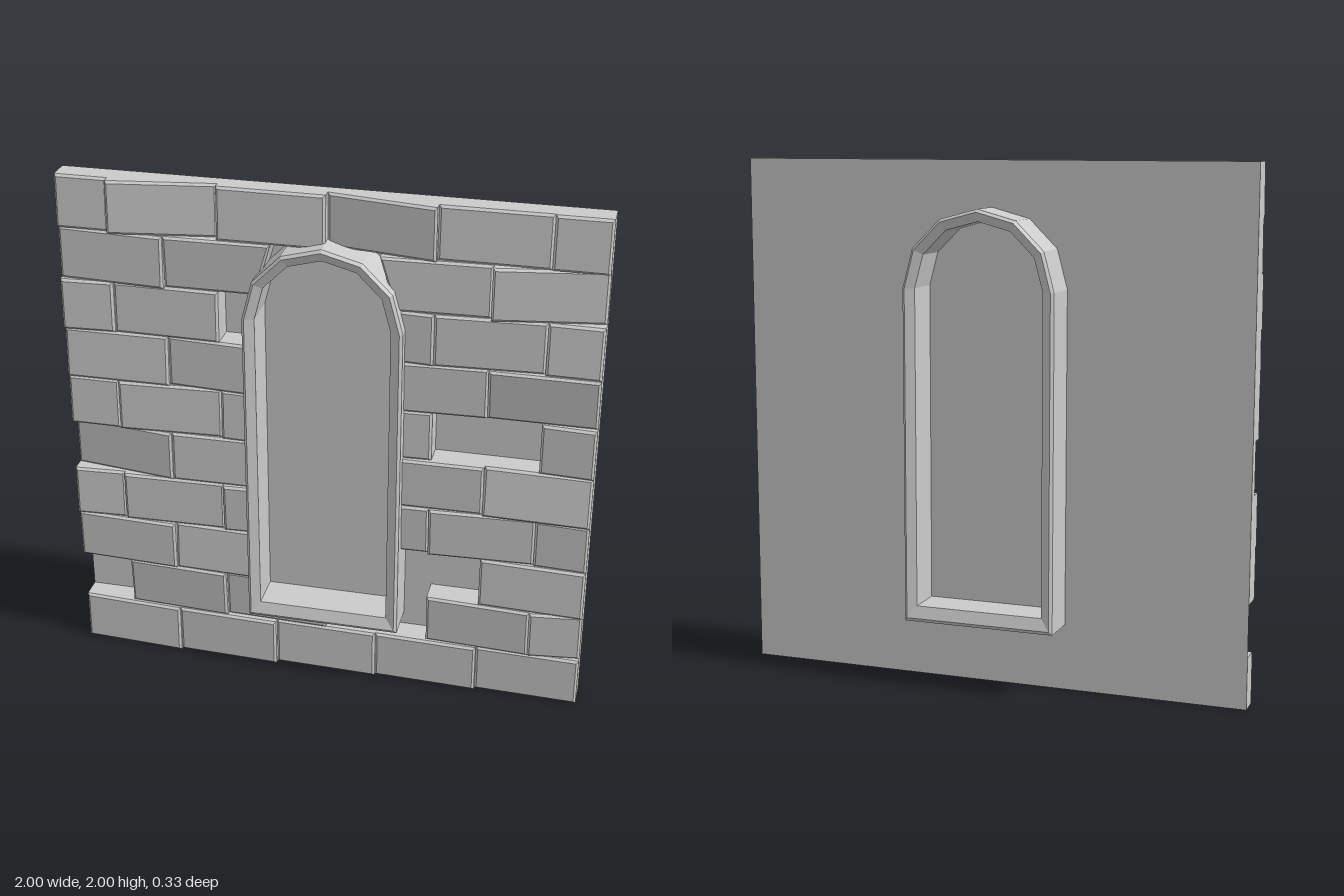
import * as THREE from 'three';

const material = new THREE.MeshStandardMaterial({ color: 0xcccccc, flatShading: true, side: THREE.DoubleSide });
const ROWS = 10, BRICK_W = 0.4, BRICK_H = 0.2, BEVEL = 0.009;
const CUT = 0.27; // half width of the opening the bricks are trimmed to

// Bricks left out, as 'row,column'
const MISSING = new Set(['1,0', '1,3', '2,3', '5,4', '7,2', '8,2']);

// Chosen tilts: [depth, slope along x, slope along y]
const TILTS = {
  '9,0': [0.1, 0, -0.05], '9,1': [0.098, -0.15, -0.03], '9,2': [0.095, 0, -0.05],
  '9,3': [0.09, 0.16, 0], '9,4': [0.095, 0, -0.05], '9,5': [0.1, 0, -0.05],
  '8,4': [0.098, -0.16, 0], '6,4': [0.105, 0, 0.12], '4,4': [0.11, 0.02, -0.12],
  '4,0': [0.085, 0.14, 0], '1,5': [0.11, -0.12, 0.05],
};

function seeded(seed) {
  return () => {
    seed = (seed * 16807) % 2147483647;
    return seed / 2147483647;
  };
}

// Brick outline, trimmed where it meets the window frame
function brickOutline(row, x0, x1) {
  const y0 = row * BRICK_H, y1 = y0 + BRICK_H;
  const left = x0 + x1 < 0;
  const s = left ? -1 : 1; // work on the +x side, then mirror
  const inner = left ? -x1 : x0, outer = left ? -x0 : x1;
  let pts = [[inner, y0], [outer, y0], [outer, y1], [inner, y1]];
  if (row === 1 && inner < CUT) {
    pts = [[inner, y0], [outer, y0], [outer, y1], [CUT, y1], [CUT, 0.285], [inner, 0.285]];
  } else if (row >= 2 && row <= 7 && inner < CUT) {
    if (outer <= CUT) return null;
    pts[0][0] = pts[3][0] = CUT;
  } else if (row === 8 && inner < CUT) {
    pts[0][0] = 0.26;
  }
  return pts.map(([x, y]) => new THREE.Vector2(s * x, y));
}

function makeBrick(row, x0, x1, [depth, slopeX, slopeY]) {
  const outline = brickOutline(row, x0, x1);
  if (!outline) return null;
  const geometry = new THREE.ExtrudeGeometry(new THREE.Shape(outline), {
    depth: depth - BEVEL, bevelEnabled: true, bevelThickness: BEVEL,
    bevelSize: BEVEL, bevelOffset: -BEVEL, bevelSegments: 1,
  });
  // Tilt the front, flatten the back onto the backing sheet
  const p = geometry.attributes.position;
  const cx = (x0 + x1) / 2, cy = (row + 0.5) * BRICK_H;
  for (let i = 0; i < p.count; i++) {
    const z = p.getZ(i);
    p.setZ(i, z < 0.001 ? 0 : z + slopeX * (p.getX(i) - cx) + slopeY * (p.getY(i) - cy));
  }
  geometry.computeVertexNormals();
  const mesh = new THREE.Mesh(geometry, material);
  mesh.name = 'brick';
  return mesh;
}

function makeBricks() {
  const group = new THREE.Group();
  group.name = 'bricks';
  const random = seeded(4127);
  for (let row = 0; row < ROWS; row++) {
    const start = row % 2 ? -1.2 : -1; // running bond
    for (let col = 0; start + col * BRICK_W < 0.99; col++) {
      const x0 = Math.max(-1, start + col * BRICK_W);
      const x1 = Math.min(1, start + (col + 1) * BRICK_W);
      const loose = [0.1 + random() * 0.012, (random() - 0.5) * 0.14, (random() - 0.5) * 0.12];
      const key = `${row},${col}`;
      if (MISSING.has(key)) continue;
      const brick = makeBrick(row, x0, x1, TILTS[key] || loose);
      if (brick) group.add(brick);
    }
  }
  return group;
}

// One loop of the round-headed window frame
function archLoop(r, z) {
  const bottom = 0.255 + (0.296 - r) * 1.3;
  const loop = [[-r, bottom, z], [r, bottom, z]];
  for (let i = 0; i <= 6; i++) {
    const a = (i / 6) * Math.PI;
    loop.push([r * Math.cos(a), 1.53 + r * Math.sin(a), z]);
  }
  return loop;
}

// Frame: chamfered section swept round the arch, same on both sides of the wall
function makeFrame() {
  const section = [
    [0.25, 0.148], [0.285, 0.165], [0.296, 0.154],
    [0.296, -0.154], [0.285, -0.165], [0.25, -0.148],
  ];
  const loops = section.map(([r, z]) => archLoop(r, z));
  const n = loops[0].length, positions = [];
  for (let i = 0; i < loops.length; i++) {
    const a = loops[i], b = loops[(i + 1) % loops.length];
    for (let j = 0; j < n; j++) {
      const k = (j + 1) % n;
      positions.push(...a[j], ...b[j], ...b[k], ...a[j], ...b[k], ...a[k]);
    }
  }
  const geometry = new THREE.BufferGeometry();
  geometry.setAttribute('position', new THREE.Float32BufferAttribute(positions, 3));
  geometry.computeVertexNormals();
  const mesh = new THREE.Mesh(geometry, material);
  mesh.name = 'windowFrame';
  return mesh;
}

export function createModel() {
  const group = new THREE.Group();
  group.name = 'brickWallWithWindow';

  // Flat sheet behind the bricks, also closing the window
  const backing = new THREE.Mesh(new THREE.PlaneGeometry(2, 2), material);
  backing.name = 'backing';
  backing.position.y = 1;

  group.add(backing, makeBricks(), makeFrame());
  return group;
}
